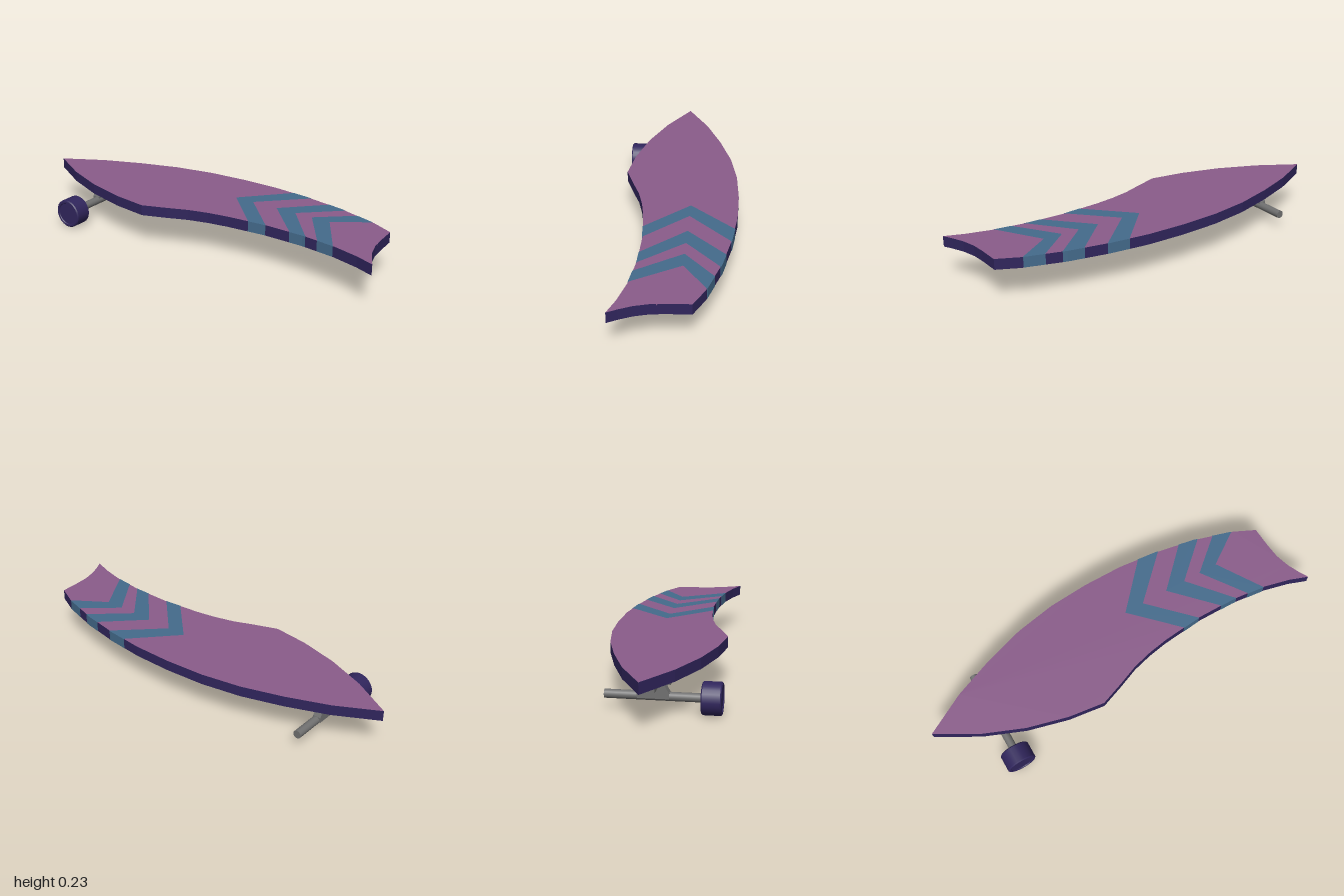
import * as THREE from 'three';

const paint = (name, color) => {
  const m = new THREE.MeshStandardMaterial({ color });
  m.name = name;
  return m;
};

// Deck edges as [x, z], both running from the nose to the tail
const BACK = [[-1, 0], [-0.8, -0.11], [-0.6, -0.19], [-0.4, -0.253], [-0.2, -0.29], [0, -0.304],
  [0.2, -0.303], [0.4, -0.282], [0.6, -0.245], [0.8, -0.185], [0.905, -0.135]];
const FRONT = [[-1, 0], [-0.8, 0.115], [-0.6, 0.197], [-0.4, 0.25], [-0.22, 0.274], [-0.1, 0.23],
  [0, 0.19], [0.1, 0.164], [0.2, 0.147], [0.4, 0.128], [0.6, 0.13], [0.77, 0.15], [0.9, 0.182], [0.99, 0.215]];
const TAIL = [[0.91, -0.03], [0.917, 0.04], [0.937, 0.11], [0.965, 0.17]];
const BOTTOM = 0.176, TOP = 0.228;

// Points of an edge between two x positions, with interpolated ends
function edgeRun(edge, x0, x1) {
  const at = (x) => {
    const i = Math.max(1, edge.findIndex((p) => p[0] >= x));
    const [a, b] = [edge[i - 1], edge[i]];
    return [x, a[1] + (b[1] - a[1]) * (x - a[0]) / (b[0] - a[0])];
  };
  return [at(x0), ...edge.filter((p) => p[0] > x0 && p[0] < x1), at(x1)];
}

// Plan shape: z is flipped so that turning it flat restores it
const plan = (pts) => new THREE.Shape(pts.map(([x, z]) => new THREE.Vector2(x, -z)));
const flat = (pts, y) => new THREE.ShapeGeometry(plan(pts)).rotateX(-Math.PI / 2).translate(0, y, 0);
const slab = (pts, y0, y1) => new THREE.ExtrudeGeometry(plan(pts), { depth: y1 - y0, bevelEnabled: false })
  .rotateX(-Math.PI / 2).translate(0, y0, 0);

export function createModel() {
  const purple = paint('darkPurple', 0x30255c);
  const mauve = paint('mauve', 0x8a5c8a);
  const blue = paint('slateBlue', 0x446b8c);
  const metal = paint('greyMetal', 0x707070);

  const model = new THREE.Group();
  model.name = 'skateboard';
  const add = (parent, name, geometry, material) => {
    const mesh = new THREE.Mesh(geometry, material);
    mesh.name = name;
    parent.add(mesh);
    return mesh;
  };
  const group = (name) => {
    const g = new THREE.Group();
    g.name = name;
    model.add(g);
    return g;
  };

  // Deck with coloured top face
  const deck = group('deck');
  const outline = [...BACK, ...TAIL, ...FRONT.slice(1).reverse()];
  add(deck, 'deckBoard', slab(outline, BOTTOM, TOP), purple);
  add(deck, 'topSheet', flat(outline, TOP + 0.0005), mauve);
  add(deck, 'tailChip', new THREE.ExtrudeGeometry(new THREE.Shape([
    new THREE.Vector2(-0.065, TOP), new THREE.Vector2(-0.04, 0.211),
    new THREE.Vector2(-0.025, 0.208), new THREE.Vector2(-0.008, TOP),
  ]), { depth: 0.005, bevelEnabled: false }).rotateY(Math.PI / 2 - 0.1).translate(0.911, 0, 0), mauve);

  // Chevrons: apex x outside and inside, then x range on the back and front edges
  const chevrons = [
    [0.10, 0.20, 0.30, 0.41, 0.31, 0.40],
    [0.335, 0.44, 0.52, 0.62, 0.53, 0.615],
    [0.53, 0.625, 0.695, 0.79, 0.68, 0.765],
  ];
  for (const [a, b, b0, b1, f0, f1] of chevrons) {
    const back = edgeRun(BACK, b0, b1);
    const front = edgeRun(FRONT, f0, f1);
    add(deck, 'chevron', flat([[a, -0.075], ...back, [b, -0.075], ...front.slice().reverse()], TOP + 0.0015), blue);
    // Stripe ends wrapped over the deck edge
    for (const [run, s] of [[back, -1], [front, 1]]) {
      const shift = (d) => run.map(([x, z]) => [x, z + s * d]);
      add(deck, 'edgeStripe', slab([...shift(-0.002), ...shift(0.002).reverse()], BOTTOM + 0.001, TOP + 0.001), blue);
    }
  }

  // Truck
  const truck = group('truck');
  const box = (name, x0, x1, y0, y1, z0, z1) => add(truck, name,
    new THREE.BoxGeometry(x1 - x0, y1 - y0, z1 - z0)
      .translate((x0 + x1) / 2, (y0 + y1) / 2, (z0 + z1) / 2), metal);
  const AX = -0.695, AY = 0.076, CZ = 0.007;
  box('basePlate', -0.82, -0.545, 0.167, 0.177, -0.077, 0.1);
  box('pivotBlock', -0.815, -0.705, 0.153, 0.168, CZ - 0.035, CZ + 0.035);
  for (const s of [-1, 1]) {
    const zs = [CZ + s * 0.026, CZ + s * 0.078].sort((p, q) => p - q);
    box('sideFlange', -0.80, -0.69, 0.157, 0.162, zs[0], zs[1]);
    box('flangeWeb', -0.80, -0.69, 0.157, 0.168, CZ + s * 0.028 - 0.002, CZ + s * 0.028 + 0.002);
  }
  box('pivotArm', -0.81, -0.71, 0.122, 0.155, CZ - 0.022, CZ + 0.022);

  // Hanger tapers upward from the axle tube
  const hanger = new THREE.Shape([[-0.07, 0.07], [0.07, 0.07], [0.07, 0.096], [0.04, 0.153], [-0.04, 0.153], [-0.07, 0.096]]
    .map(([z, y]) => new THREE.Vector2(z, y)));
  add(truck, 'hanger', new THREE.ExtrudeGeometry(hanger, { depth: 0.04, bevelEnabled: false })
    .rotateY(Math.PI / 2).translate(AX - 0.025, 0, CZ - 0.002), metal);
  add(truck, 'axleTube', new THREE.CylinderGeometry(0.02, 0.02, 0.455, 20)
    .rotateX(Math.PI / 2).translate(AX, AY, 0.0155), metal);
  add(truck, 'kingpin', new THREE.CylinderGeometry(0.007, 0.007, 0.042, 12).translate(-0.662, 0.149, CZ), metal);
  add(truck, 'kingpinNut', new THREE.CylinderGeometry(0.012, 0.012, 0.008, 6).translate(-0.662, 0.135, CZ), metal);

  // Wheel with recessed faces
  const wheel = group('wheel');
  wheel.position.set(AX, AY, 0.261);
  const profile = [[0.001, -0.036], [0.05, -0.036], [0.054, -0.044], [0.068, -0.044], [0.0735, -0.039],
    [0.0735, 0.039], [0.068, 0.044], [0.059, 0.044], [0.056, 0.04], [0.001, 0.04]]
    .map(([r, h]) => new THREE.Vector2(r, h));
  // Every profile segment is its own lathe, keeping the rims crisp
  for (let i = 1; i < profile.length; i++) {
    add(wheel, 'tyre', new THREE.LatheGeometry([profile[i - 1], profile[i]], 24).rotateX(Math.PI / 2), purple);
  }
  add(wheel, 'hub', new THREE.CylinderGeometry(0.036, 0.036, 0.006, 20).rotateX(Math.PI / 2).translate(0, 0, -0.038), metal);
  return model;
}
